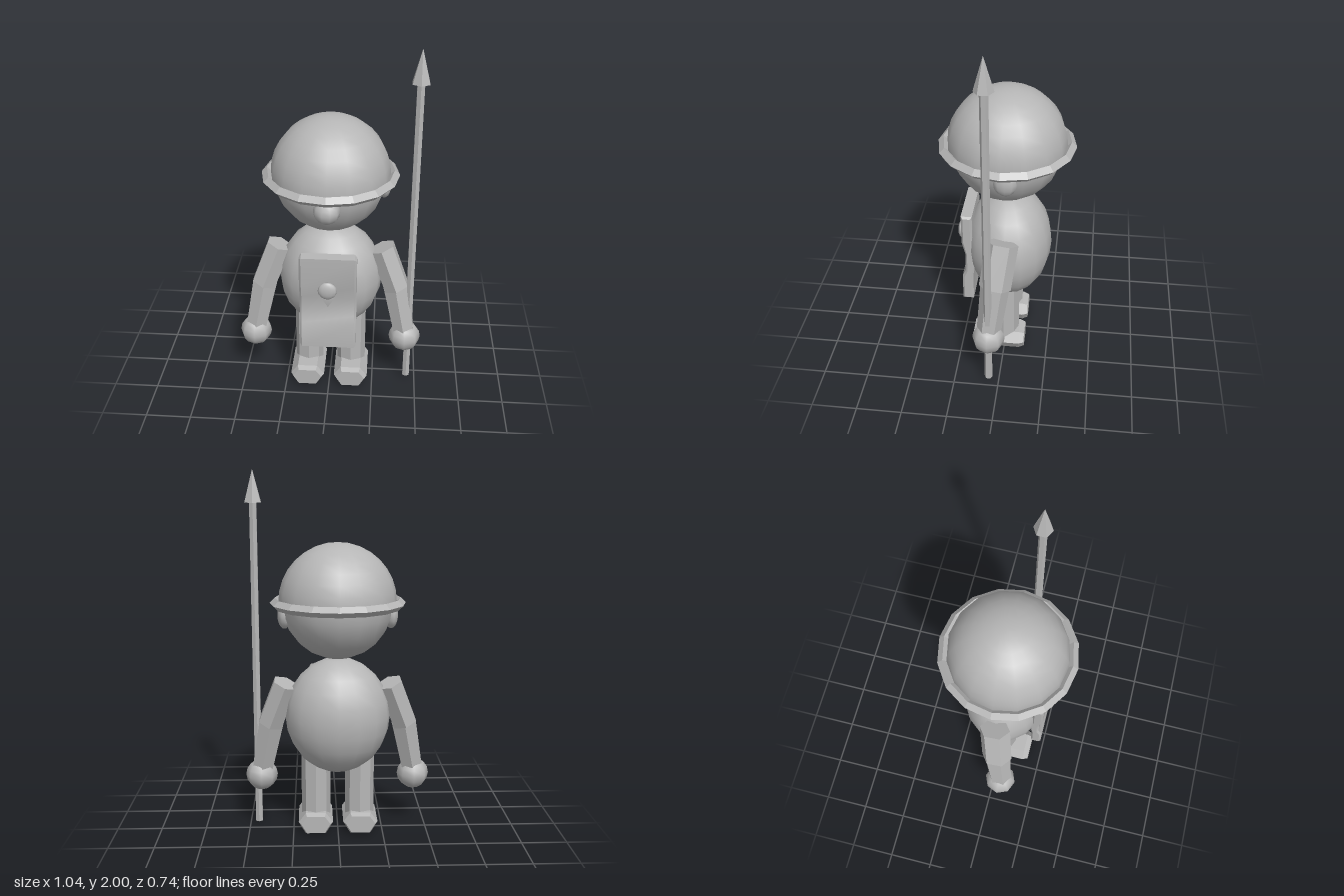
import * as THREE from 'three';
import { toCreasedNormals } from 'three/addons/utils/BufferGeometryUtils.js';

export function createModel() {
  const model = new THREE.Group();
  model.name = 'spearGuard';
  const clay = new THREE.MeshStandardMaterial({ color: 0xb6b6b6 });
  clay.name = 'grey clay';
  clay.side = THREE.DoubleSide;

  const add = (name, geometry, x = 0, y = 0, z = 0) => {
    const mesh = new THREE.Mesh(geometry, clay);
    mesh.name = name;
    mesh.position.set(x, y, z);
    model.add(mesh);
    return mesh;
  };
  const flat = (g) => toCreasedNormals(g, 0.1);
  const ball = (name, x, y, z, rx, ry, rz, ws = 16, hs = 12) =>
    add(name, new THREE.SphereGeometry(1, ws, hs).scale(rx, ry, rz), x, y, z);
  // Faceted limb between two points
  const limb = (name, from, to, rFrom, rTo, sides, squash = 1) => {
    const a = new THREE.Vector3(...from), b = new THREE.Vector3(...to);
    const dir = b.clone().sub(a);
    const g = flat(new THREE.CylinderGeometry(rTo, rFrom, dir.length(), sides).scale(squash, 1, 1));
    const mesh = add(name, g);
    mesh.position.copy(a).add(b).multiplyScalar(0.5);
    mesh.quaternion.setFromUnitVectors(new THREE.Vector3(0, 1, 0), dir.normalize());
    return mesh;
  };

  // Torso and head
  ball('torso', 0, 0.67, -0.011, 0.29, 0.325, 0.24);
  ball('head', 0, 1.3, 0, 0.305, 0.31, 0.305);
  ball('nose', 0, 1.217, 0.288, 0.07, 0.067, 0.067, 10, 8);

  // Helmet dome and diamond-section brim
  add('helmetDome', new THREE.SphereGeometry(0.32, 16, 8, 0, Math.PI * 2, 0, Math.PI / 2), 0, 1.3, 0);
  const brim = flat(new THREE.TorusGeometry(0.34, 0.028, 4, 16).rotateX(Math.PI / 2));
  add('helmetBrim', brim, 0, 1.296, 0);

  // Foot outline across, extruded along z
  const footShape = new THREE.Shape([
    [-0.05, 0.012], [0.05, 0.012], [0.082, 0.065], [0.05, 0.108], [-0.05, 0.108], [-0.082, 0.065],
  ].map(([x, y]) => new THREE.Vector2(x, y)));
  const footGeometry = flat(new THREE.ExtrudeGeometry(footShape, {
    depth: 0.236, bevelEnabled: true, bevelThickness: 0.03, bevelSize: 0.012, bevelSegments: 1,
  }).translate(0, 0, -0.118));

  // Mirrored pairs
  for (const [side, s] of [['left', 1], ['right', -1]]) {
    ball(side + 'Ear', s * 0.288, 1.23, -0.02, 0.038, 0.073, 0.063, 10, 8);
    ball(side + 'Eye', s * 0.12, 1.277, 0.268, 0.025, 0.025, 0.025, 8, 6);
    limb(side + 'UpperArm', [s * 0.375, 0.614, 0.027], [s * 0.286, 0.85, -0.005], 0.087, 0.087, 6, 0.86);
    limb(side + 'Forearm', [s * 0.425, 0.34, 0.057], [s * 0.368, 0.63, 0.025], 0.067, 0.08, 6, 0.96);
    ball(side + 'Hand', s * 0.43, 0.302, 0.058, 0.09, 0.088, 0.09, 8, 8);
    limb(side + 'Leg', [s * 0.123, 0.08, 0], [s * 0.123, 0.52, 0], 0.081, 0.081, 8);
    add(side + 'Foot', footGeometry, s * 0.125, 0, 0.031);
  }

  // Shield: gently dented side profile (z, y), extruded across x with bevelled edges
  const shieldShape = new THREE.Shape([
    [0.19, 0.342], [0.229, 0.342], [0.229, 0.49], [0.21, 0.53], [0.21, 0.65], [0.229, 0.73],
    [0.229, 0.893], [0.19, 0.893], [0.19, 0.7], [0.18, 0.62], [0.18, 0.56], [0.19, 0.5],
  ].map(([z, y]) => new THREE.Vector2(z, y)));
  const shield = new THREE.ExtrudeGeometry(shieldShape, {
    depth: 0.29, bevelEnabled: true, bevelThickness: 0.011, bevelSize: 0.011, bevelSegments: 1,
  }).translate(0, 0, -0.145).rotateY(-Math.PI / 2);
  add('shield', toCreasedNormals(shield, 0.6));
  ball('shieldBoss', 0, 0.718, 0.258, 0.052, 0.052, 0.022, 12, 8);

  // Spear in the left hand
  limb('spearShaft', [0.45, 0.02, 0.058], [0.45, 1.84, 0.058], 0.022, 0.022, 6);
  add('spearPoint', flat(new THREE.ConeGeometry(0.05, 0.175, 6)), 0.45, 1.9125, 0.058);

  return model;
}
